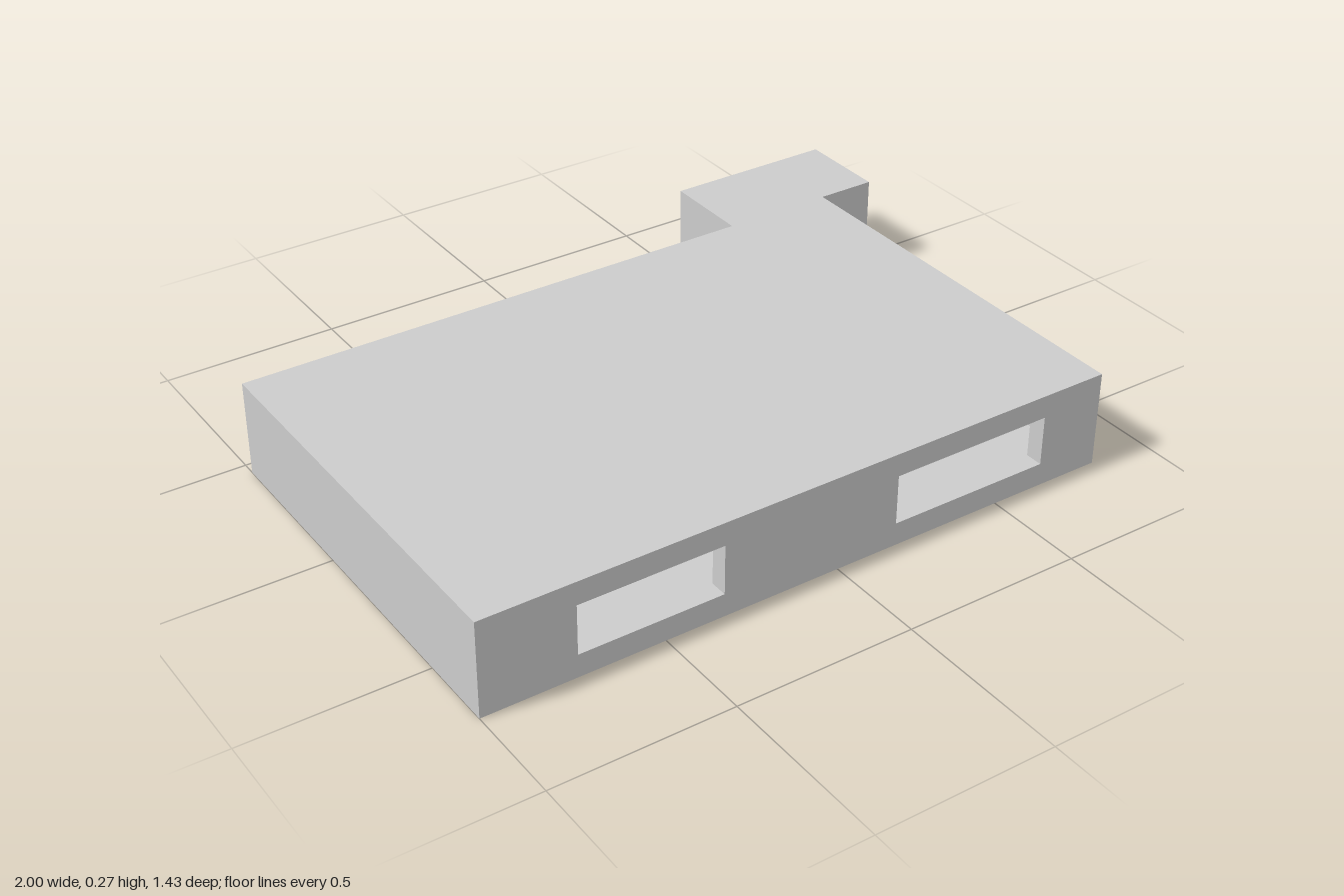
import * as THREE from 'three';

const material = new THREE.MeshStandardMaterial({ color: 0xcccccc, flatShading: true });

const FLOOR = 0.03, EAVES = 0.25, TOP = 0.27;
const SILL = 0.065, HEAD = 0.205;
const LEFT = 0.83, RIGHT = -1, FRONT = 0.715, BACK = -0.46, WALL = 0.05;
const ANNEX_IN = 0.51, ANNEX_OUT = 1, ANNEX_BACK = -0.72;

export function createModel() {
  const model = new THREE.Group();

  function add(name, geometry) {
    const mesh = new THREE.Mesh(geometry, material);
    mesh.name = name;
    model.add(mesh);
  }

  // Box given by its two extreme corners
  function block(name, x0, x1, y0, y1, z0, z1) {
    const g = new THREE.BoxGeometry(x1 - x0, y1 - y0, z1 - z0);
    g.translate((x0 + x1) / 2, (y0 + y1) / 2, (z0 + z1) / 2);
    add(name, g);
  }

  // Closed rectangle as a list of points
  const rect = (x0, x1, y0, y1) => [[x0, y0], [x1, y0], [x1, y1], [x0, y1]]
    .map(([x, y]) => new THREE.Vector2(x, y));

  // Wall facing front or back, pierced by openings [x0, x1, y0, y1]
  function piercedWall(name, z0, openings) {
    const shape = new THREE.Shape(rect(RIGHT, LEFT, FLOOR, EAVES));
    openings.forEach(o => shape.holes.push(new THREE.Path(rect(...o).reverse())));
    const g = new THREE.ExtrudeGeometry(shape, { depth: WALL, bevelEnabled: false });
    add(name, g.translate(0, 0, z0));
  }

  // Slab following the plan of the house and its annex
  function slab(name, y0, y1) {
    const plan = [[RIGHT, FRONT], [LEFT, FRONT], [LEFT, BACK], [ANNEX_OUT, BACK],
      [ANNEX_OUT, ANNEX_BACK], [ANNEX_IN, ANNEX_BACK], [ANNEX_IN, BACK], [RIGHT, BACK]];
    const shape = new THREE.Shape(plan.map(([x, z]) => new THREE.Vector2(x, -z)));
    const g = new THREE.ExtrudeGeometry(shape, { depth: y1 - y0, bevelEnabled: false });
    add(name, g.rotateX(-Math.PI / 2).translate(0, y0, 0));
  }

  slab('floorSlab', 0, FLOOR);
  slab('roofSlab', EAVES, TOP);

  // Main house
  piercedWall('frontWall', FRONT - WALL, [
    [-0.74, -0.335, SILL, HEAD],
    [0.177, 0.645, SILL, HEAD],
  ]);
  piercedWall('backWall', BACK, [
    [-0.91, -0.5, SILL, HEAD],
    [0.238, 0.41, SILL, HEAD],
    [0.55, 0.78, FLOOR + 0.002, 0.235], // doorway to the annex
  ]);
  for (const [name, x] of [['leftWall', LEFT - WALL], ['rightWall', RIGHT]]) {
    block(name, x, x + WALL, FLOOR, EAVES, BACK + WALL, FRONT - WALL);
  }

  // Annex: a passage open at its outer end
  block('annexBackWall', ANNEX_IN, ANNEX_OUT, FLOOR, EAVES, ANNEX_BACK, -0.693);
  block('annexInnerWall', ANNEX_IN, 0.55, FLOOR, EAVES, -0.693, BACK);
  block('annexFrontWall', 0.78, ANNEX_OUT, FLOOR, EAVES, -0.475, BACK);
  block('annexCeiling', 0.55, ANNEX_OUT, 0.235, EAVES, -0.693, -0.475);

  return model;
}
